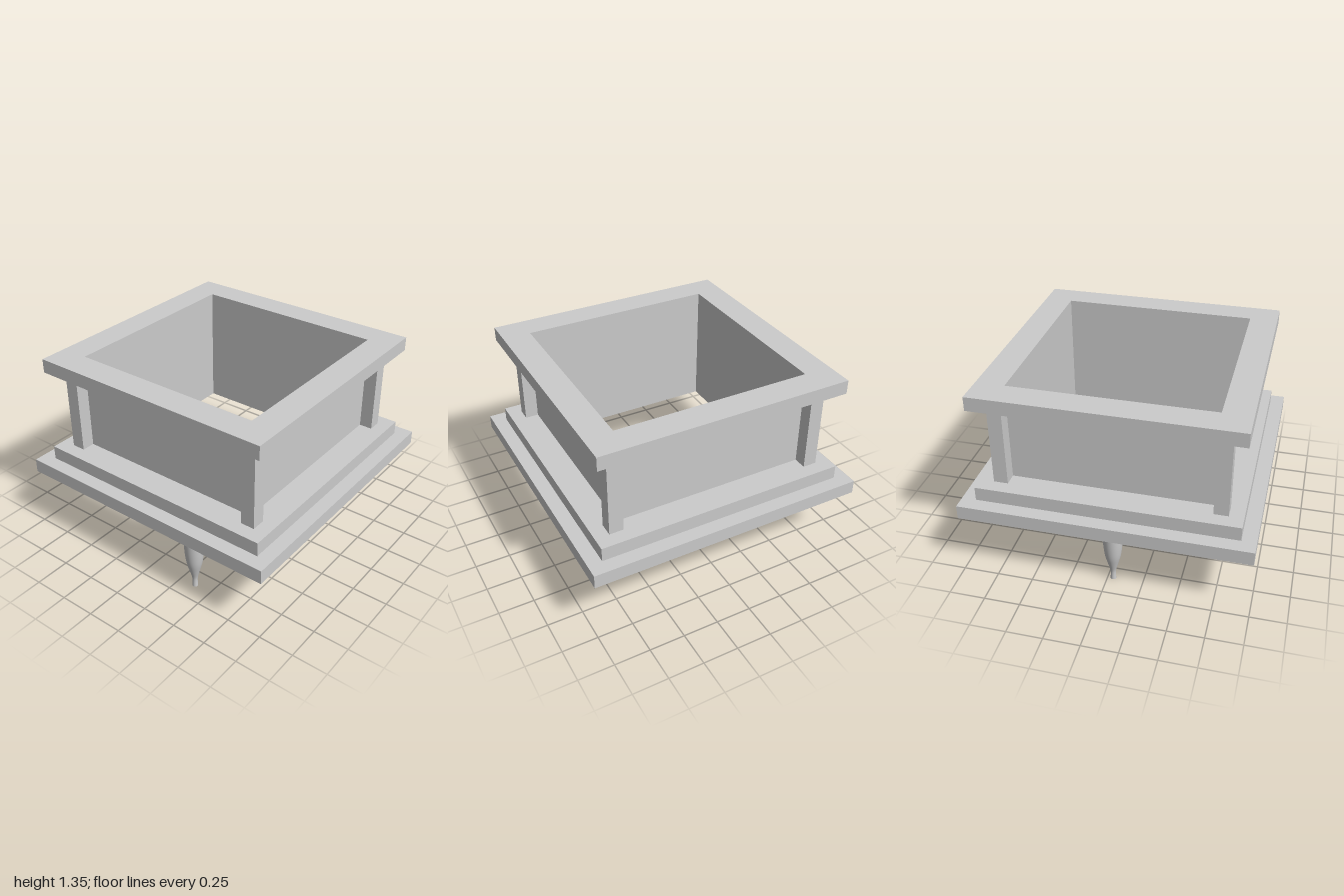
import * as THREE from 'three';

const material = new THREE.MeshStandardMaterial({ color: 0xcccccc });
const HOLE = 0.7; // half width of the square opening

// Square frame of half width `outer` around the opening, standing on y
function frame(name, outer, y, height) {
  const square = (Type, r) => new Type([
    new THREE.Vector2(-r, -r), new THREE.Vector2(r, -r),
    new THREE.Vector2(r, r), new THREE.Vector2(-r, r),
  ]);
  const shape = square(THREE.Shape, outer);
  shape.holes.push(square(THREE.Path, HOLE));
  const geometry = new THREE.ExtrudeGeometry(shape, { depth: height, bevelEnabled: false });
  geometry.rotateX(-Math.PI / 2);
  const mesh = new THREE.Mesh(geometry, material);
  mesh.name = name;
  mesh.position.y = y;
  return mesh;
}

// Tapered foot: profile of radius and depth below the base plate
function footGeometry() {
  const curve = new THREE.SplineCurve([
    [0.02, -0.445], [0.018, -0.40], [0.021, -0.365], [0.036, -0.31],
    [0.054, -0.24], [0.064, -0.16], [0.069, -0.07], [0.07, 0],
  ].map(([r, y]) => new THREE.Vector2(r, y)));
  const side = curve.getPoints(28);
  const geometry = new THREE.LatheGeometry(side, 32);
  return geometry;
}

export function createModel() {
  const model = new THREE.Group();
  model.name = 'squarePlanter';
  const base = 0.445;

  // Stepped base, thin walls and top rim
  model.add(
    frame('basePlate', 1, base, 0.1),
    frame('baseStep', 0.9, base + 0.1, 0.1),
    frame('walls', 0.705, base + 0.2, 0.6),
    frame('topRim', 0.9, base + 0.8, 0.1),
  );

  // Corner posts
  const postGeometry = new THREE.BoxGeometry(0.1, 0.6, 0.1);
  for (const sx of [-1, 1]) {
    for (const sz of [-1, 1]) {
      const post = new THREE.Mesh(postGeometry, material);
      post.name = 'cornerPost';
      post.position.set(sx * 0.75, base + 0.5, sz * 0.75);
      model.add(post);
    }
  }

  // Two large feet and two small ones, unevenly placed: x, z, scale
  const foot = footGeometry();
  const tip = new THREE.CircleGeometry(0.02, 32).rotateX(Math.PI / 2);
  for (const [x, z, scale] of [
    [-0.04, -0.845, 1], [-0.87, 0.37, 1],
    [0.82, 0.76, 0.36], [-0.81, 0.615, 0.36],
  ]) {
    const group = new THREE.Group();
    group.name = scale === 1 ? 'largeFoot' : 'smallFoot';
    const body = new THREE.Mesh(foot, material);
    body.name = 'footBody';
    const cap = new THREE.Mesh(tip, material);
    cap.name = 'footTip';
    cap.position.y = -base;
    group.add(body, cap);
    group.position.set(x, base, z);
    group.scale.setScalar(scale);
    model.add(group);
  }
  return model;
}
